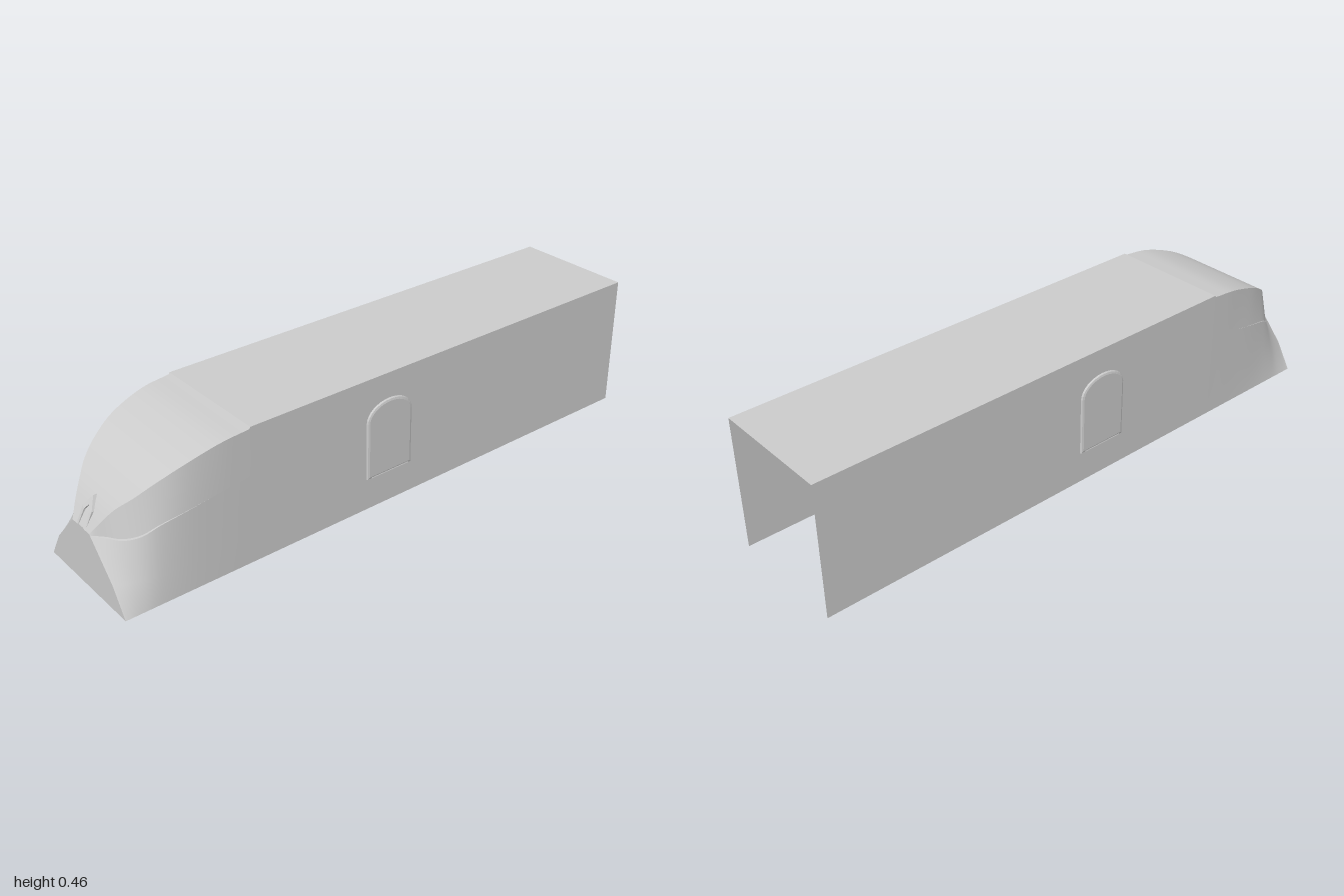
import * as THREE from 'three';

const grey = new THREE.MeshStandardMaterial({ color: 0xcccccc, side: THREE.DoubleSide });
const W = 0.21, H = 0.458, SHOULDER = -0.56;

// nose stations: x, roof y, roof half width, crease y, crease half width, lower wall half width
const stations = [
  [-1.00, 0.205, 0.047, 0.200, 0.053, 0.155],
  [-0.97, 0.250, 0.075, 0.200, 0.090, 0.172],
  [-0.94, 0.288, 0.100, 0.200, 0.130, 0.183],
  [-0.90, 0.325, 0.135, 0.215, 0.165, 0.195],
  [-0.85, 0.362, 0.162, 0.243, 0.187, 0.201],
  [-0.77, 0.405, 0.190, 0.265, 0.202, 0.206],
  [-0.66, 0.440, 0.206, 0.285, 0.208, 0.209],
  [SHOULDER, 0.452, W, 0.300, W, W],
];

function mesh(name, geometry) {
  const m = new THREE.Mesh(geometry, grey);
  m.name = name;
  return m;
}

// smooth surface through rows of points
function surface(name, rows) {
  const n = rows[0].length, index = [];
  for (let i = 0; i < rows.length - 1; i++) {
    for (let j = 0; j < n - 1; j++) {
      const a = i * n + j, b = a + 1, d = a + n, c = d + 1;
      index.push(a, b, d, b, c, d);
    }
  }
  const g = new THREE.BufferGeometry();
  g.setAttribute('position', new THREE.Float32BufferAttribute(rows.flat(2), 3));
  g.setIndex(index);
  g.computeVertexNormals();
  return mesh(name, g);
}

// smooth curve through the stations, columns chosen for y and half width
function railPoints(pick) {
  const pts = stations.map((s) => new THREE.Vector3(s[0], ...pick(s)));
  return new THREE.CatmullRomCurve3(pts, false, 'catmullrom', 0.5).getPoints(42).map((p) => p.toArray());
}

function polygon(points, Type = THREE.Shape) {
  return new Type(points.map(([x, y]) => new THREE.Vector2(x, y)));
}

function archOutline(halfWidth, bottom, spring, top) {
  const pts = [[-halfWidth, bottom], [halfWidth, bottom]];
  for (let i = 0; i <= 16; i++) {
    const a = (i / 16) * Math.PI;
    pts.push([Math.cos(a) * halfWidth, spring + Math.sin(a) * (top - spring)]);
  }
  return pts;
}

function door() {
  const group = new THREE.Group();
  group.name = 'door';

  // raised bevelled surround
  const surround = polygon(archOutline(0.09, 0.11, 0.31, 0.372));
  surround.holes.push(polygon(archOutline(0.066, 0.122, 0.305, 0.348), THREE.Path));
  const frame = new THREE.ExtrudeGeometry(surround, {
    depth: 0.001, bevelThickness: 0.007, bevelSize: 0.009, bevelOffset: -0.009, bevelSegments: 2,
  });
  const p = frame.attributes.position;
  for (let i = 0; i < p.count; i++) p.setZ(i, Math.max(p.getZ(i), 0.001));
  group.add(mesh('doorFrame', frame));

  // panel with two windows
  const leaf = polygon(archOutline(0.068, 0.12, 0.305, 0.35));
  for (const s of [-1, 1]) {
    const pane = [[0.012, 0.243], [0.06, 0.243], [0.06, 0.285], [0.045, 0.306], [0.012, 0.316]];
    const inner = [[0.019, 0.25], [0.053, 0.25], [0.053, 0.282], [0.042, 0.299], [0.019, 0.307]];
    const flip = (pts) => pts.map(([x, y]) => [s * x, y]);
    leaf.holes.push(polygon(flip(pane), THREE.Path));
    const rim = polygon(flip(pane));
    rim.holes.push(polygon(flip(inner), THREE.Path));
    const rimMesh = mesh('windowFrame', new THREE.ExtrudeGeometry(rim, { depth: 0.005, bevelEnabled: false }));
    rimMesh.position.z = 0.001;
    group.add(rimMesh);
  }
  const leafMesh = mesh('doorPanel', new THREE.ExtrudeGeometry(leaf, { depth: 0.002, bevelEnabled: false }));
  leafMesh.position.z = 0.001;
  group.add(leafMesh);
  return group;
}

export function createModel() {
  const model = new THREE.Group();
  const roof = railPoints((s) => [s[1], s[2]]);
  const crease = railPoints((s) => [s[3], s[4]]);
  const lower = railPoints((s) => [0.09, s[5]]);
  const count = roof.length;

  // roof: curved nose, small step, long flat run
  const across = (x, y, w) => [[x, y, -w], [x, y, 0], [x, y, w]];
  model.add(surface('noseRoof', roof.map(([x, y, w]) => across(x, y, w))));
  model.add(surface('roofStep', [across(SHOULDER, 0.452, W), across(SHOULDER + 0.004, H, W)]));
  model.add(surface('mainRoof', [across(SHOULDER + 0.004, H, W), across(1, H, W)]));

  // side walls with a fading ledge along the nose
  for (const side of [1, -1]) {
    const upper = [], ledge = [], skirt = [];
    const put = (list, pts) => {
      const row = pts.map(([x, y, z]) => [x, y, side * z]);
      list.push(side > 0 ? row : row.reverse());
    };
    for (let i = 0; i < count; i++) {
      const [x, cy, cw] = crease[i];
      const t = i / (count - 1);
      const inset = 0.006 * Math.sin(Math.PI * Math.min(1, t * 1.1 + 0.1)) * (1 - t);
      const top = roof[i], shelf = [x, cy + inset, cw - inset];
      const mid = [x, (top[1] + shelf[1]) / 2, (top[2] + shelf[2]) / 2];
      put(upper, [top, mid, shelf]);
      put(ledge, [shelf, crease[i]]);
      put(skirt, [crease[i], lower[i], [x, 0, W]]);
    }
    for (const [x, y] of [[SHOULDER + 0.004, H], [1, H]]) {
      put(upper, [[x, y, W], [x, (y + 0.3) / 2, W], [x, 0.3, W]]);
      put(skirt, [[x, 0.3, W], [x, 0.09, W], [x, 0, W]]);
    }
    model.add(surface('upperWall', upper), surface('noseLedge', ledge), surface('lowerWall', skirt));

    const d = door();
    d.position.set(-0.045, 0, side * W);
    if (side < 0) d.rotation.y = Math.PI;
    model.add(d);
  }

  // flat end below the nose
  model.add(surface('noseEnd', [[0, W], [0.09, 0.155], [0.2, 0.053], [0.205, 0.047]]
    .map(([y, w]) => across(-1, y, w))));

  // pointed rim lying on the tip of the nose
  const rim = polygon([[-0.025, 0.203], [0.025, 0.203], [0.025, 0.255], [0, 0.29], [-0.025, 0.255]]);
  rim.holes.push(polygon([[-0.013, 0.208], [0.013, 0.208], [0.013, 0.248], [0, 0.266], [-0.013, 0.248]], THREE.Path));
  const rimGeometry = new THREE.ExtrudeGeometry(rim, { depth: 0.016, bevelEnabled: false });
  const p = rimGeometry.attributes.position;
  for (let i = 0; i < p.count; i++) {
    const z = p.getX(i), y = p.getY(i), out = p.getZ(i) - 0.008;
    p.setXYZ(i, Math.max(-1, -1 + (y - 0.203) * 0.66 - out), y, z);
  }
  rimGeometry.computeVertexNormals();
  model.add(mesh('noseRim', rimGeometry));
  return model;
}
